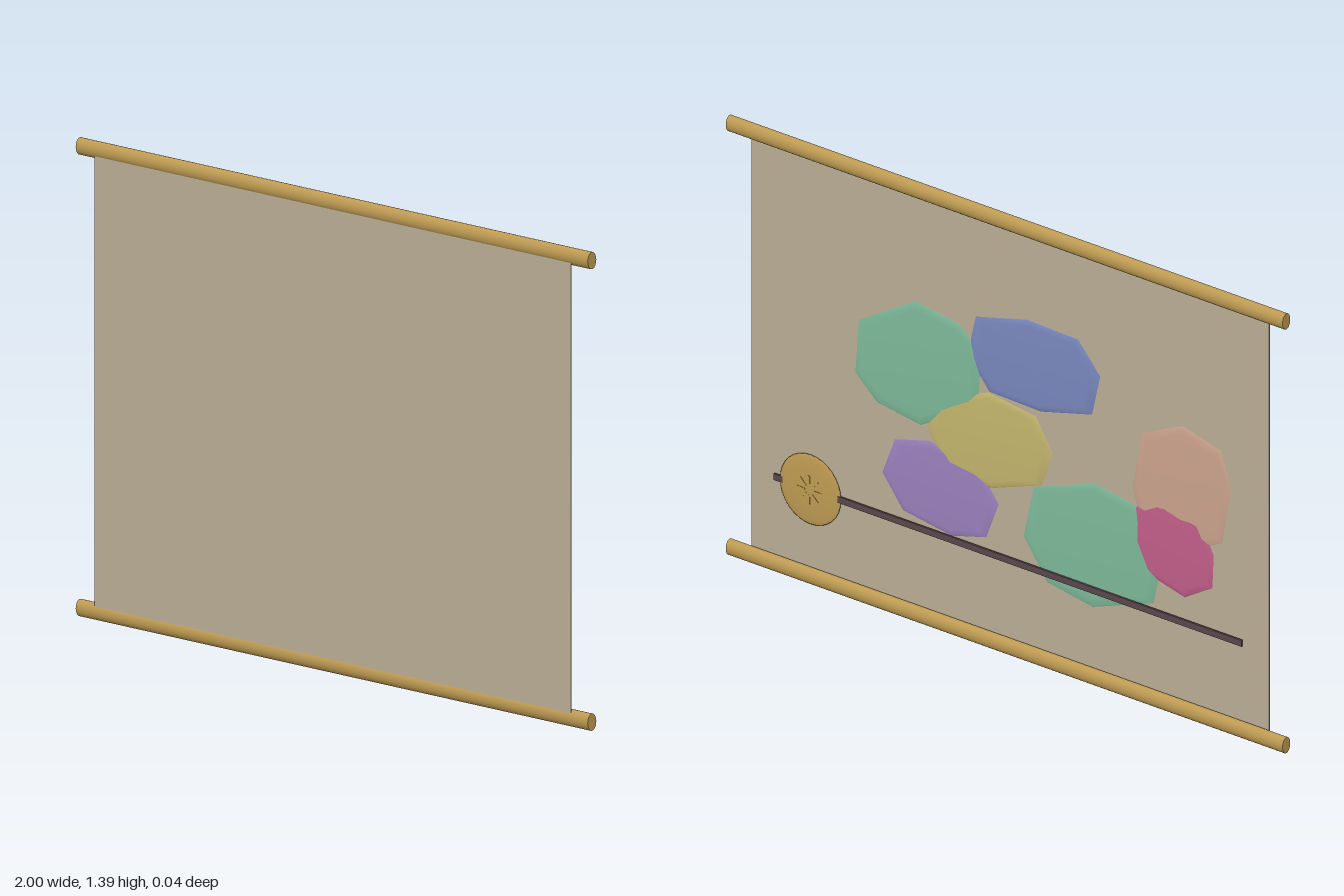
import * as THREE from 'three';

const mat = (name, color) => {
  const m = new THREE.MeshStandardMaterial({ color });
  m.name = name;
  return m;
};
const M = {
  parchment: mat('parchment', 0xb8ac95),
  gold: mat('gold', 0xbd9a52),
  green: mat('green', 0x7cb898),
  blue: mat('blue', 0x7886bc),
  yellow: mat('yellow', 0xc2b46c),
  purple: mat('purple', 0x9a80bc),
  peach: mat('peach', 0xcaa28c),
  pink: mat('pink', 0xc05e88),
  wood: mat('dark wood', 0x5a474c),
};

// Low dome over a point-symmetric octagon, facing -z.
// half: four [x, y] corners, the other four are their opposites.
function domeGeometry(half, zTop) {
  const corners = [...half, ...half.map(([x, y]) => [-x, -y])];
  const rings = [[1, 0.0105], [0.97, 0.008], [0.86, zTop + 0.0012]];
  const pos = [], idx = [], n = corners.length;
  for (const [s, z] of rings) for (const [x, y] of corners) pos.push(x * s, y * s, z);
  pos.push(0, 0, zTop);
  const tip = rings.length * n;
  for (let i = 0; i < n; i++) {
    const j = (i + 1) % n;
    for (let r = 0; r < rings.length - 1; r++) {
      const a = r * n + i, b = r * n + j;
      idx.push(a, a + n, b, b, a + n, b + n);
    }
    idx.push(tip - n + i, tip, tip - n + j);
  }
  const g = new THREE.BufferGeometry();
  g.setAttribute('position', new THREE.Float32BufferAttribute(pos, 3));
  g.setIndex(idx);
  g.computeVertexNormals();
  return g;
}

export function createModel() {
  const root = new THREE.Group();
  root.name = 'hangingScroll';
  const add = (name, geo, material, x, y, z) => {
    const mesh = new THREE.Mesh(geo, material);
    mesh.name = name;
    mesh.position.set(x, y, z);
    root.add(mesh);
    return mesh;
  };

  // Sheet
  add('sheet', new THREE.BoxGeometry(1.86, 1.335, 0.003), M.parchment, 0, 0.694, 0.0115);

  // Rods along the top and bottom edges
  const rod = new THREE.CylinderGeometry(1, 1, 2, 20).rotateZ(Math.PI / 2).scale(1, 0.025, 0.0175);
  add('topRod', rod, M.gold, 0, 1.362, 0);
  add('bottomRod', rod, M.gold, 0, 0.025, 0);

  // Coloured patches on the back of the sheet
  const patches = [
    ['upperGreenPatch', M.green, 0.33, 0.81, 0.0034, [[0.227, -0.1], [0.215, 0.07], [0.01, 0.194], [-0.15, 0.17]]],
    ['bluePatch', M.blue, -0.085, 0.932, 0.0036, [[0.24, -0.04], [0.21, 0.09], [0.025, 0.138], [-0.16, 0.133]]],
    ['yellowPatch', M.yellow, 0.072, 0.647, 0.0036, [[0.225, -0.03], [0.185, 0.085], [0.005, 0.15], [-0.165, 0.127]]],
    ['purplePatch', M.purple, 0.25, 0.44, 0.004, [[0.21, -0.015], [0.165, 0.104], [0.04, 0.138], [-0.135, 0.112]]],
    ['lowerGreenPatch', M.green, -0.3, 0.433, 0.004, [[0.253, -0.05], [0.216, 0.117], [-0.003, 0.197], [-0.167, 0.17]]],
    ['peachPatch', M.peach, -0.617, 0.712, 0.0038, [[0.178, -0.055], [0.145, 0.13], [-0.003, 0.198], [-0.14, 0.162]]],
    ['pinkPatch', M.pink, -0.587, 0.515, 0.0034, [[0.145, -0.02], [0.14, 0.085], [0.04, 0.145], [-0.1, 0.11]]],
  ];
  for (const [name, material, x, y, zTop, half] of patches) {
    add(name, domeGeometry(half, zTop), material, x, y, 0);
  }

  // Staff lying across the patches
  add('staff', new THREE.BoxGeometry(1.68, 0.02, 0.006), M.wood, 0, 0.296, 0.001);

  // Domed disc near one end of the staff, with a small star relief
  const disc = new THREE.SphereGeometry(1, 32, 16).rotateX(Math.PI / 2).scale(0.11, 0.11, 0.007);
  add('disc', disc, M.gold, 0.71, 0.296, 0.001);
  const ray = new THREE.BoxGeometry(0.03, 0.005, 0.002);
  for (let i = 0; i < 8; i++) {
    const a = (i * Math.PI) / 4;
    add('starRay', ray, M.gold, 0.71 + 0.03 * Math.cos(a), 0.296 + 0.03 * Math.sin(a), -0.006).rotation.z = a;
  }
  return root;
}
